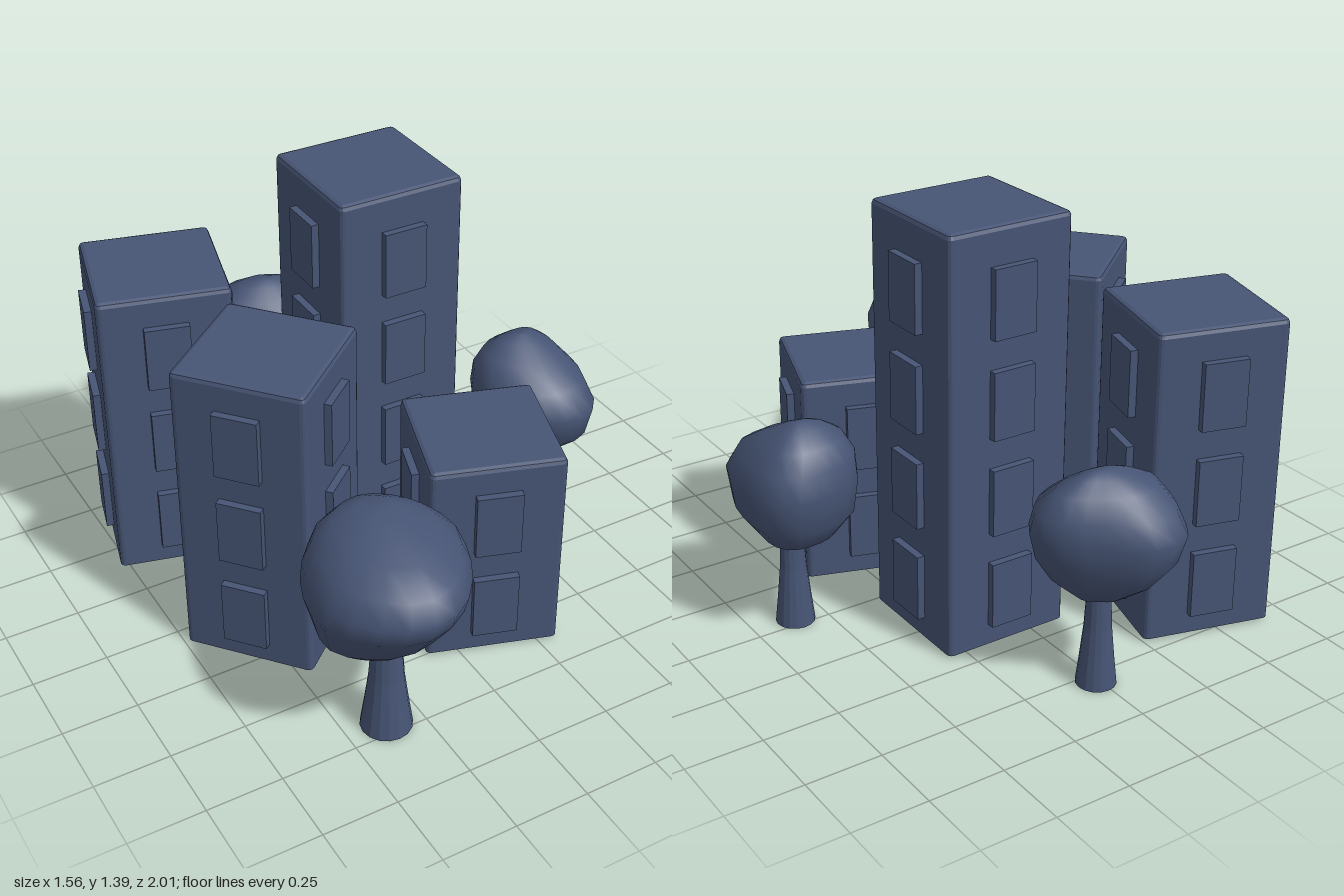
import * as THREE from 'three';

const COLOR = 0x465474;
const wallMat = new THREE.MeshStandardMaterial({ color: COLOR, flatShading: true, side: THREE.DoubleSide });
const treeMat = new THREE.MeshStandardMaterial({ color: COLOR });

// Skin a stack of equal-length rings, bottom to top, with optional end caps.
function loft(rings, capBottom) {
  const n = rings[0].length, pos = [], idx = [];
  rings.forEach(r => r.forEach(p => pos.push(...p)));
  for (let i = 0; i < rings.length - 1; i++)
    for (let j = 0; j < n; j++) {
      const a = i * n + j, b = i * n + (j + 1) % n;
      idx.push(a, b, a + n, b, b + n, a + n);
    }
  const cap = (i, flip) => {
    const c = [0, 1, 2].map(k => rings[i].reduce((s, p) => s + p[k], 0) / n);
    const ci = pos.length / 3;
    pos.push(...c);
    for (let j = 0; j < n; j++) {
      const a = i * n + j, b = i * n + (j + 1) % n;
      flip ? idx.push(b, a, ci) : idx.push(a, b, ci);
    }
  };
  cap(rings.length - 1, false);
  if (capBottom) cap(0, true);
  const g = new THREE.BufferGeometry();
  g.setAttribute('position', new THREE.Float32BufferAttribute(pos, 3));
  g.setIndex(idx);
  g.computeVertexNormals();
  return g;
}

function mesh(name, geo, mat) {
  const m = new THREE.Mesh(geo, mat);
  m.name = name;
  return m;
}

// Square ring with rounded corners.
function squareRing(y, inset) {
  const c = 0.2, r = 0.0175 - inset, ring = [];
  for (let q = 0; q < 4; q++)
    for (let s = 0; s <= 3; s++) {
      const a = (q + s / 3) * Math.PI / 2, m = (q + 0.5) * Math.PI / 2;
      ring.push([c * Math.sign(Math.cos(m)) + r * Math.cos(a), y,
        -c * Math.sign(Math.sin(m)) - r * Math.sin(a)]);
    }
  return ring;
}

// Tower block: open-bottomed shell with a softened roof edge and raised windows.
function building(name, x, z, turn, floors, height) {
  const g = new THREE.Group();
  g.name = name;
  const rings = [[0.01, 0], [height - 0.016, 0], [height - 0.005, 0.005], [height, 0.016]];
  g.add(mesh('walls', loft(rings.map(r => squareRing(...r)), false), wallMat));
  const pane = new THREE.BoxGeometry(0.147, 0.222, 0.05);
  for (let side = 0; side < 4; side++) {
    const wall = new THREE.Group();
    wall.name = 'windowColumn';
    wall.rotation.y = side * Math.PI / 2;
    for (let f = 0; f < floors; f++) {
      const w = mesh('window', pane, wallMat);
      w.position.set(0, 0.192 + f * 0.322, 0.2175);
      wall.add(w);
    }
    g.add(wall);
  }
  g.position.set(x, 0, z);
  g.rotation.y = turn;
  return g;
}

// Tree: flared trunk and a lumpy crown; levels are [y, xMin, xMax, zMin, zMax].
function tree(name, x, z, scale, outline, levels) {
  const g = new THREE.Group();
  g.name = name;
  const profile = [[0, 0], [0.064, 0], [0.053, 0.1], [0.043, 0.2], [0.038, 0.3], [0.038, 0.4]];
  const trunk = mesh('trunk', new THREE.LatheGeometry(
    profile.map(([r, y]) => new THREE.Vector2(r * scale, y)), 16), treeMat);
  trunk.geometry = trunk.geometry.toNonIndexed();
  trunk.geometry.computeVertexNormals();
  trunk.material = wallMat;
  trunk.position.set(x, 0, z);
  const loop = new THREE.CatmullRomCurve3(
    outline.map(([u, v]) => new THREE.Vector3(u, 0, v)), true).getSpacedPoints(20).slice(0, 20);
  const rings = levels.map(([y, x0, x1, z0, z1]) => loop.map(p =>
    [(x0 + x1) / 2 + p.x * (x1 - x0) / 2, y, (z0 + z1) / 2 + p.z * (z1 - z0) / 2]));
  g.add(trunk, mesh('crown', loft(rings, true), treeMat));
  return g;
}

export function createModel() {
  const model = new THREE.Group();
  model.name = 'cityBlock';

  model.add(
    building('tallTower', 0.102, -0.227, 0, 4, 1.39),
    building('backTower', -0.516, -0.545, -0.26, 3, 1.05),
    building('middleTower', -0.435, 0.09, 0.7, 3, 1.05),
    building('frontTower', 0.172, 0.37, -0.32, 2, 0.72));

  model.add(tree('frontTree', -0.365, 0.7, 1.3,
    [[-0.02, -1], [-0.73, -0.76], [-1, 0.2], [-0.75, 0.67], [-0.17, 1], [0.4, 0.85],
      [0.88, 0.27], [1, -0.2], [0.65, -0.7]],
    [[0.3, -0.42, -0.28, 0.62, 0.74], [0.34, -0.5, -0.2, 0.56, 0.79], [0.42, -0.58, -0.13, 0.5, 0.87],
      [0.55, -0.62, -0.105, 0.46, 0.97], [0.62, -0.612, -0.11, 0.455, 1.0],
      [0.69, -0.57, -0.14, 0.465, 0.965], [0.74, -0.5, -0.2, 0.5, 0.87], [0.77, -0.4, -0.29, 0.55, 0.7]]));

  model.add(tree('sideTree', 0.602, 0.037, 1,
    [[-0.15, -1], [-0.77, -0.72], [-1, 0.03], [-0.58, 0.7], [0.07, 1], [0.55, 0.93],
      [0.89, 0.58], [1, -0.53], [0.69, -0.95]],
    [[0.31, 0.55, 0.67, -0.05, 0.06], [0.34, 0.48, 0.71, -0.11, 0.15], [0.42, 0.415, 0.765, -0.165, 0.235],
      [0.53, 0.4, 0.775, -0.18, 0.265], [0.61, 0.41, 0.75, -0.165, 0.21],
      [0.67, 0.45, 0.7, -0.13, 0.11], [0.71, 0.51, 0.65, -0.08, 0.03], [0.727, 0.56, 0.61, -0.04, -0.01]]));

  model.add(tree('backTree', 0.01, -0.785, 1,
    [[-0.12, -1], [-0.63, -0.95], [-0.98, -0.39], [-1, 0.06], [-0.58, 0.67], [0.12, 1],
      [0.58, 0.82], [0.98, 0.32], [0.9, -0.14], [0.35, -0.65]],
    [[0.31, -0.05, 0.08, -0.85, -0.73], [0.37, -0.14, 0.15, -0.925, -0.63], [0.45, -0.2, 0.2, -0.98, -0.58],
      [0.54, -0.225, 0.225, -1.0, -0.575], [0.61, -0.2, 0.215, -0.965, -0.605],
      [0.675, -0.15, 0.17, -0.905, -0.685], [0.71, -0.08, 0.1, -0.85, -0.74], [0.725, -0.03, 0.05, -0.81, -0.77]]));

  return model;
}
